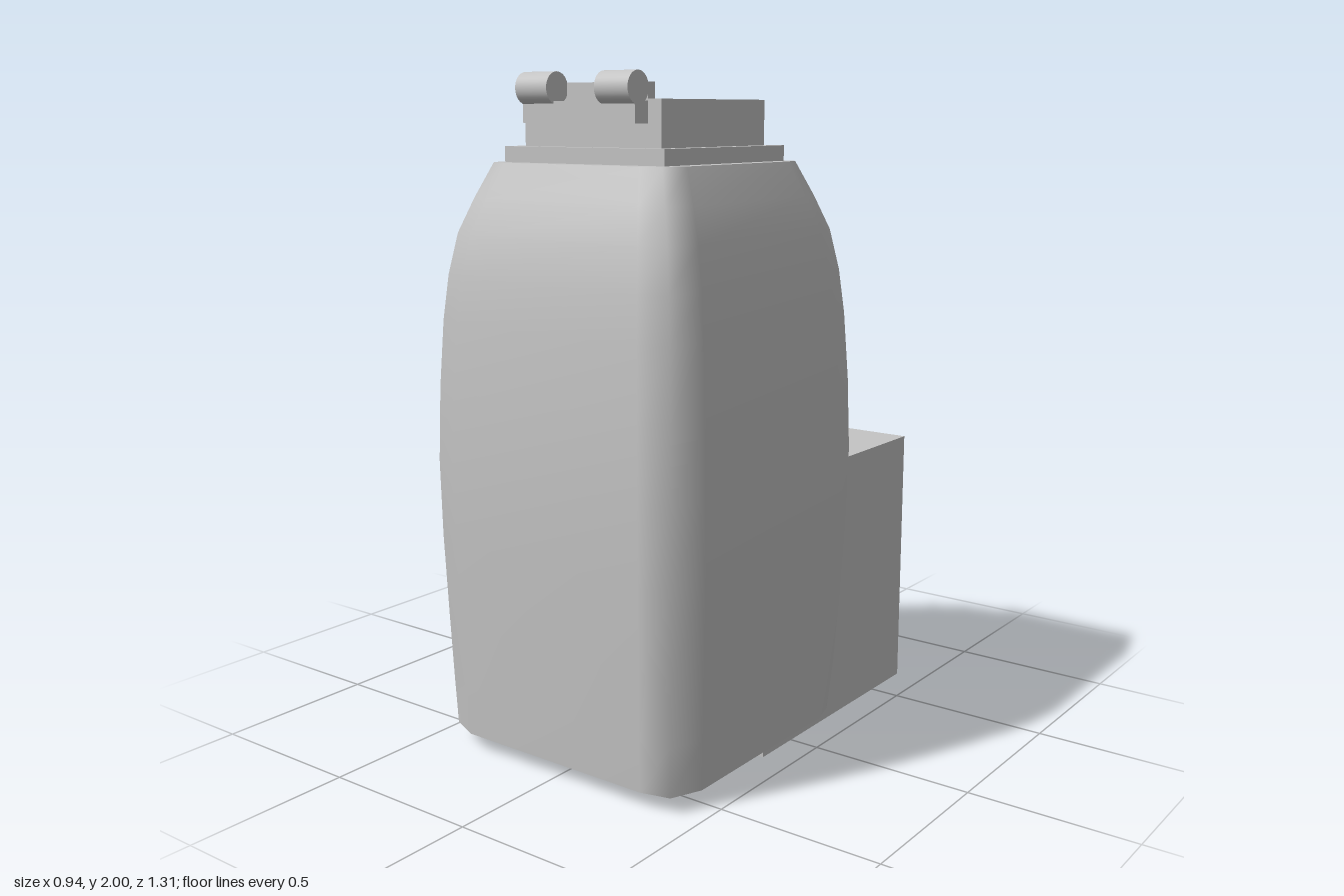
import * as THREE from 'three';

const CZ = 0.185; // z of the tank axis

export function createModel() {
  const group = new THREE.Group();
  const grey = new THREE.MeshStandardMaterial({ color: 0xc4c4c4 });
  grey.name = 'light grey';

  const add = (name, geometry, x = 0, y = 0, z = 0) => {
    const mesh = new THREE.Mesh(geometry, grey);
    mesh.name = name;
    mesh.position.set(x, y, z);
    group.add(mesh);
    return mesh;
  };
  // Box given by its limits in x (symmetric), y and z
  const box = (name, hx, y0, y1, z0, z1) =>
    add(name, new THREE.BoxGeometry(hx * 2, y1 - y0, z1 - z0), 0, (y0 + y1) / 2, (z0 + z1) / 2);
  const rect = (Type, hx, hz) => new Type([[-hx, -hz], [hx, -hz], [hx, hz], [-hx, hz]]
    .map(([x, z]) => new THREE.Vector2(x, z)));
  // Upright rectangular tube
  const tube = (name, hx, hz, holeX, holeZ, y0, y1, z) => {
    const shape = rect(THREE.Shape, hx, hz);
    shape.holes.push(rect(THREE.Path, holeX, holeZ));
    const geometry = new THREE.ExtrudeGeometry(shape, { depth: y1 - y0, bevelEnabled: false });
    return add(name, geometry.rotateX(-Math.PI / 2), 0, y0, z);
  };

  // Bulging tank: [height, half width, half depth at the back]
  const rings = [
    [0.05, 0.447, 0.4], [0.2, 0.453, 0.427], [0.4, 0.46, 0.445], [0.65, 0.468, 0.46],
    [0.88, 0.471, 0.47], [1.1, 0.464, 0.464], [1.3, 0.452, 0.452], [1.43, 0.438, 0.438],
    [1.55, 0.415, 0.415], [1.65, 0.377, 0.377], [1.75, 0.333, 0.333],
  ];
  const corner = [[1, 0.745], [0.91, 0.95], [0.71, 1]];
  const outline = [];
  for (let q = 0; q < 4; q++) {
    for (const [a, b] of corner) {
      outline.push([[a, b], [-b, a], [-a, -b], [b, -a]][q]);
    }
  }
  const n = outline.length;
  const ringPoints = ([y, half, back]) =>
    outline.map(([x, z]) => [x * half, y, CZ + z * (z < 0 ? back : half)]);
  const positions = rings.flatMap((ring) => ringPoints(ring).flat());
  const indices = [];
  for (let r = 0; r < rings.length - 1; r++) {
    for (let i = 0; i < n; i++) {
      const a = r * n + i, b = r * n + (i + 1) % n;
      indices.push(a, a + n, b, b, a + n, b + n);
    }
  }
  // Flat caps with their own corners, so the rims stay sharp
  for (const top of [false, true]) {
    const start = positions.length / 3;
    positions.push(...ringPoints(rings[top ? rings.length - 1 : 0]).flat());
    for (let i = 1; i < n - 1; i++) {
      if (top) indices.push(start, start + i + 1, start + i);
      else indices.push(start, start + i, start + i + 1);
    }
  }
  const tank = new THREE.BufferGeometry();
  tank.setAttribute('position', new THREE.Float32BufferAttribute(positions, 3));
  tank.setIndex(indices);
  tank.computeVertexNormals();
  add('tank', tank);

  // Neck with a square opening
  tube('neckCollar', 0.287, 0.287, 0.117, 0.117, 1.75, 1.795, CZ);
  tube('neck', 0.245, 0.245, 0.117, 0.117, 1.795, 1.925, CZ);

  // Hinge at the front of the neck
  box('hingeLowerPlate', 0.2, 1.86, 1.92, 0.42, 0.487);
  box('hingeUpperPlate', 0.2, 1.92, 1.97, 0.4, 0.43);
  for (const side of [-1, 1]) {
    const knuckle = new THREE.CylinderGeometry(0.045, 0.045, 0.115, 32).rotateZ(Math.PI / 2);
    add('hingeKnuckle', knuckle, side * 0.1425, 1.955, 0.472);
  }

  // Hollow rear housing, open below and lapping under the tank
  const wall = 0.03;
  tube('rearHousingRim', 0.417, 0.4125, 0.417 - wall, 0.4125 - wall, 0.01, 0.06, -0.2425);
  for (const side of [-1, 1]) {
    add('rearHousingSide', new THREE.BoxGeometry(wall, 0.78, 0.655),
      side * (0.417 - wall / 2), 0.45, -0.3275);
  }
  box('rearHousingBack', 0.417, 0.06, 0.84, -0.655, -0.655 + wall);
  box('rearHousingTop', 0.417, 0.84 - wall, 0.84, -0.655, -0.1);

  // Small catch under the tank
  const catchBar = new THREE.CylinderGeometry(0.045, 0.045, 0.17, 32).rotateZ(Math.PI / 2);
  add('bottomCatch', catchBar, 0, 0.047, 0.187);

  return group;
}
